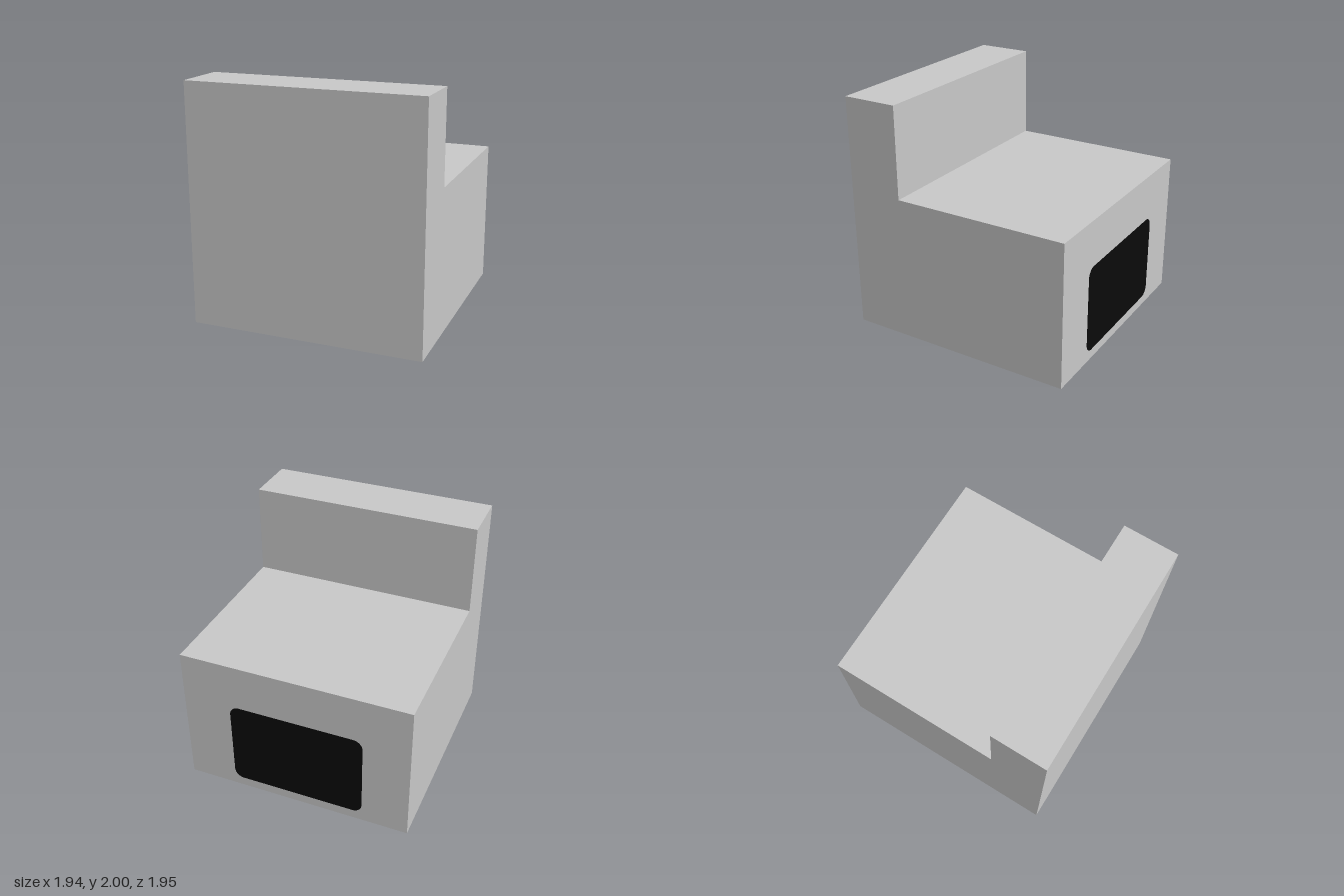
import * as THREE from 'three';

const W = 0.972; // half width and half depth

export function createModel() {
  const group = new THREE.Group();
  const grey = new THREE.MeshStandardMaterial({ color: 0xc8c8c8 });
  grey.name = 'light grey';
  const black = new THREE.MeshStandardMaterial({ color: 0x0a0a0a });
  black.name = 'black';

  // L-shaped body: side profile (z, y) extruded across the width
  const profile = new THREE.Shape([
    [-W, 0], [W, 0], [W, 2], [0.505, 2], [0.505, 1.228], [-W, 1.228],
  ].map(([z, y]) => new THREE.Vector2(-z, y)));
  const bodyGeo = new THREE.ExtrudeGeometry(profile, { depth: 2 * W, bevelEnabled: false });
  bodyGeo.translate(0, 0, -W).rotateY(Math.PI / 2);
  const body = new THREE.Mesh(bodyGeo, grey);
  body.name = 'body';
  group.add(body);

  // Rounded dark panel on the back
  const w = 0.57, h = 0.375, r = 0.08;
  const s = new THREE.Shape();
  s.moveTo(-w + r, -h);
  s.lineTo(w - r, -h);
  s.absarc(w - r, -h + r, r, -Math.PI / 2, 0);
  s.absarc(w - r, h - r, r, 0, Math.PI / 2);
  s.absarc(-w + r, h - r, r, Math.PI / 2, Math.PI);
  s.absarc(-w + r, -h + r, r, Math.PI, 1.5 * Math.PI);
  const panelGeo = new THREE.ExtrudeGeometry(s, { depth: 0.003, bevelEnabled: false, curveSegments: 8 });
  const panel = new THREE.Mesh(panelGeo, black);
  panel.name = 'backPanel';
  panel.rotation.y = Math.PI;
  panel.position.set(-0.01, 0.457, -W);
  group.add(panel);

  return group;
}
